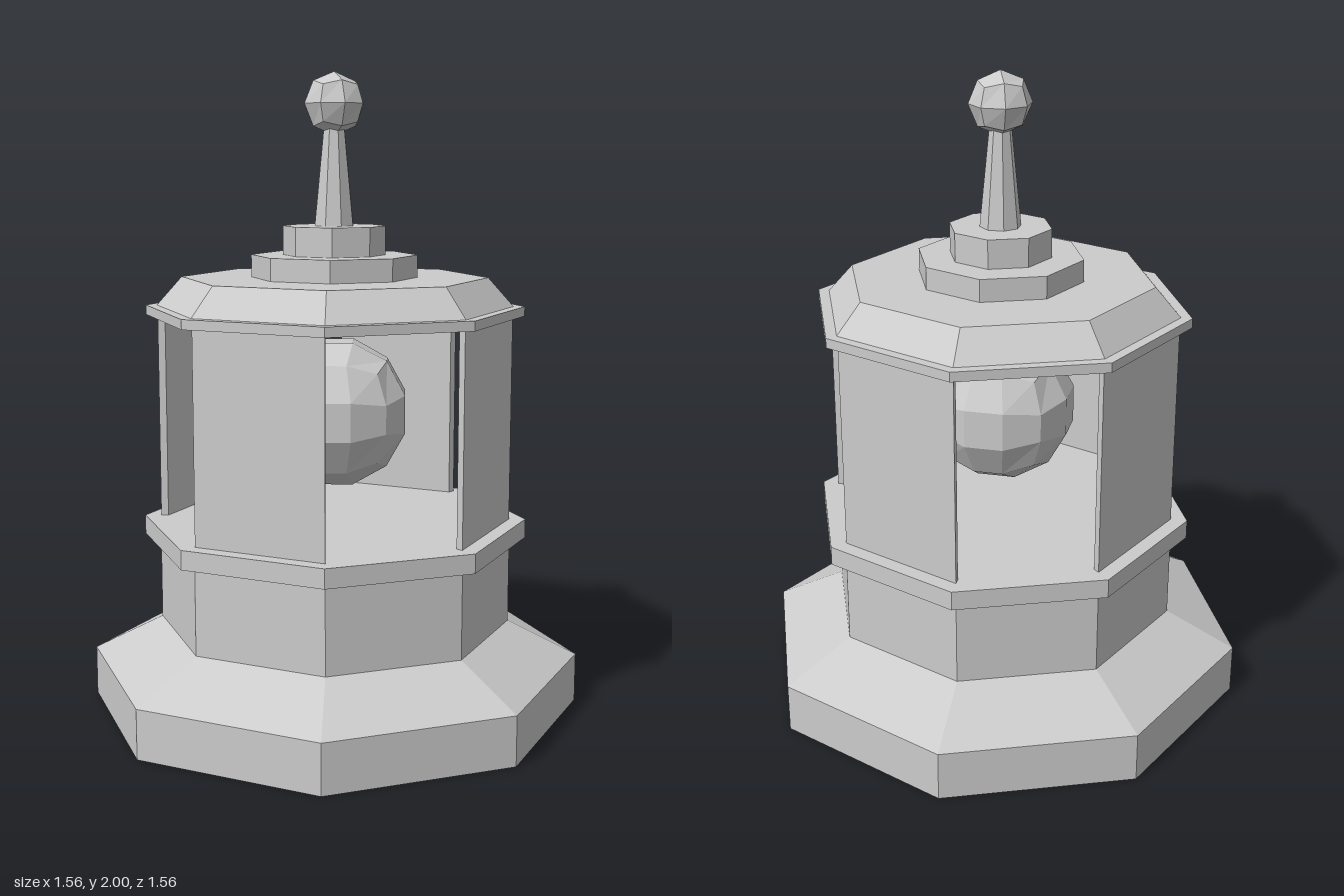
import * as THREE from 'three';

const grey = new THREE.MeshStandardMaterial({ color: 0xcccccc, flatShading: true, side: THREE.DoubleSide });

function add(group, name, geometry, y = 0) {
  const mesh = new THREE.Mesh(geometry, grey);
  mesh.name = name;
  mesh.position.y = y;
  group.add(mesh);
  return mesh;
}

// Eight-sided turned part with a corner facing the front
function octagonal(profile) {
  return new THREE.LatheGeometry(profile.map(([r, y]) => new THREE.Vector2(r, y)), 8);
}

// Faceted ball: a divided cube spread evenly over a sphere
function cubeBall(radius, divisions) {
  const geometry = new THREE.BoxGeometry(2, 2, 2, divisions, divisions, divisions);
  const p = geometry.attributes.position;
  const v = new THREE.Vector3();
  const spread = (c) => Math.tan(c * Math.PI / 4);
  for (let i = 0; i < p.count; i++) {
    v.fromBufferAttribute(p, i);
    v.set(spread(v.x), spread(v.y), spread(v.z)).setLength(radius);
    p.setXYZ(i, v.x, v.y, v.z);
  }
  geometry.computeVertexNormals();
  return geometry;
}

// Thin wall over one side of the octagon, with mitred ends
function wallPanel(outer, inner, height) {
  const corner = (r, a) => new THREE.Vector2(Math.sin(a) * r, -Math.cos(a) * r);
  const a = Math.PI / 4, b = Math.PI / 2;
  const shape = new THREE.Shape([corner(outer, a), corner(outer, b), corner(inner, b), corner(inner, a)]);
  return new THREE.ExtrudeGeometry(shape, { depth: height, bevelEnabled: false }).rotateX(-Math.PI / 2);
}

export function createModel() {
  const model = new THREE.Group();
  model.name = 'lantern';

  // Solid foot, neck, ledge and chamber floor
  add(model, 'base', octagonal([
    [0, 0], [0.78, 0], [0.78, 0.155], [0.56, 0.265], [0.56, 0.54],
    [0.61, 0.54], [0.61, 0.6], [0, 0.6],
  ]));

  // Walls on every other side
  const walls = new THREE.Group();
  walls.name = 'walls';
  model.add(walls);
  for (let i = 0; i < 4; i++) {
    add(walls, 'wallPanel', wallPanel(0.558, 0.535, 0.65), 0.6).rotation.y = i * Math.PI / 2;
  }

  // Light ball inside the chamber
  add(model, 'lightBall', cubeBall(0.24, 3), 0.945);

  // Hollow stepped roof
  add(model, 'roof', octagonal([
    [0.535, 1.25], [0.595, 1.25], [0.595, 1.28], [0.56, 1.28], [0.48, 1.37],
    [0.26, 1.37], [0.26, 1.44], [0.16, 1.44], [0.16, 1.53], [0, 1.53],
  ]));

  // Spire and finial
  add(model, 'spire', new THREE.CylinderGeometry(0.034, 0.064, 0.3, 8), 1.68).rotation.y = Math.PI / 8;
  add(model, 'finialBall', cubeBall(0.097, 2), 1.903).rotation.y = Math.PI / 8;

  return model;
}
